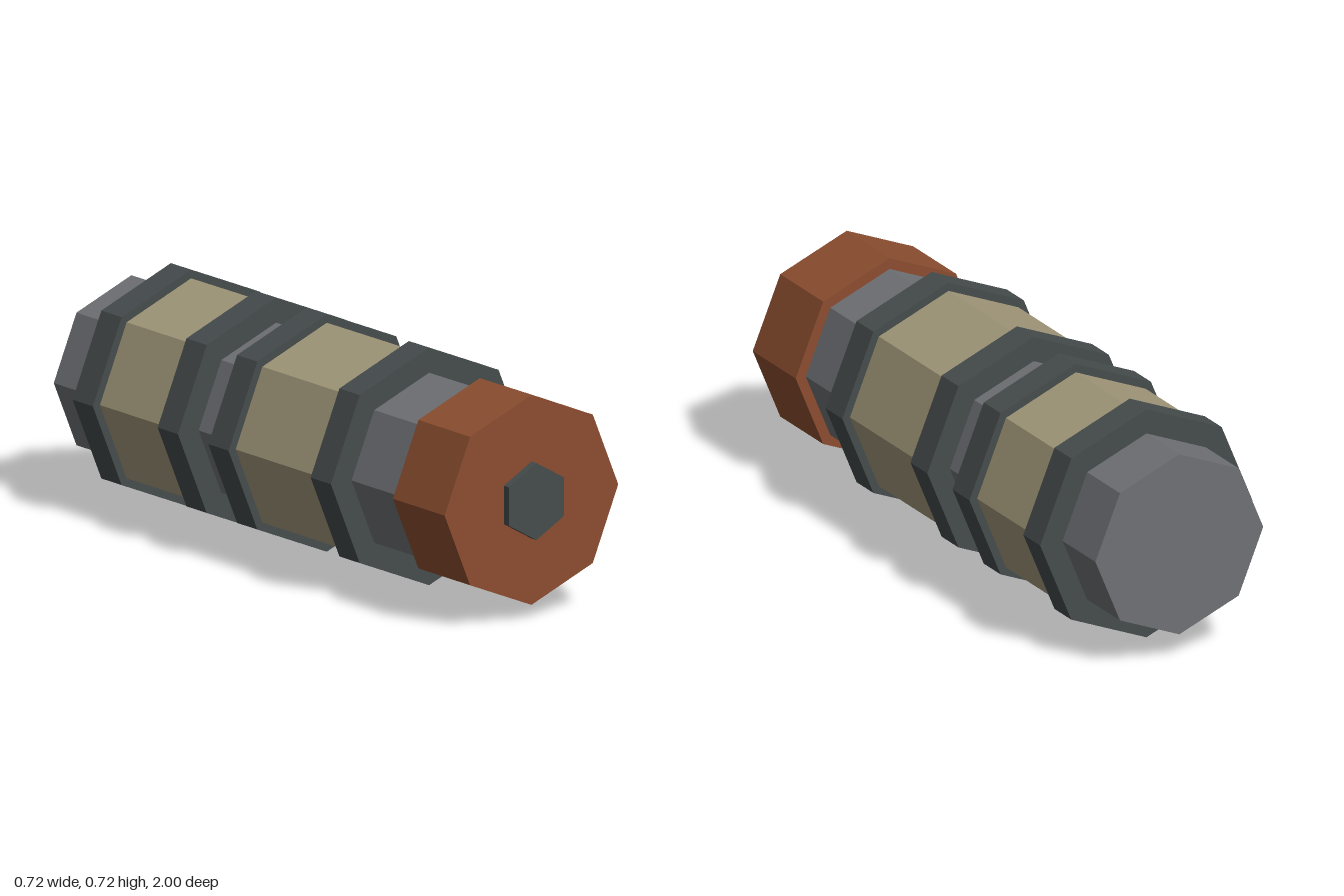
import * as THREE from 'three';

const paint = (name, color) => {
  const m = new THREE.MeshStandardMaterial({ color, flatShading: true });
  m.name = name;
  return m;
};

export function createModel() {
  const rust = paint('rust', 0x8b4d2f);
  const khaki = paint('khaki', 0x9f9678);
  const steel = paint('steel grey', 0x6e7074);
  const dark = paint('dark grey', 0x454b4c);
  const group = new THREE.Group();
  group.name = 'segmentedCylinder';

  // Faceted drum lying along z, with a corner at top and bottom
  const drum = (name, radius, back, front, material, sides = 8) => {
    const geometry = new THREE.CylinderGeometry(radius, radius, front - back, sides);
    geometry.rotateX(Math.PI / 2);
    const mesh = new THREE.Mesh(geometry, material);
    mesh.name = name;
    mesh.position.set(0, 0.361, (back + front) / 2);
    group.add(mesh);
  };

  // Core running the full length
  drum('core', 0.285, -1, 0.73, steel);

  // Two sleeves, each held between a pair of collars
  const collar = 0.1;
  [['front', -0.035, 0.37], ['rear', -0.705, -0.385]].forEach(([end, back, front]) => {
    drum(end + 'Sleeve', 0.335, back, front, khaki);
    drum(end + 'SleeveBackCollar', 0.361, back - collar, back, dark);
    drum(end + 'SleeveFrontCollar', 0.361, front, front + collar, dark);
  });

  // End cap with its hexagonal stud
  drum('endCap', 0.319, 0.72, 0.975, rust);
  drum('hexStud', 0.117, 0.965, 1, dark, 6);

  return group;
}
